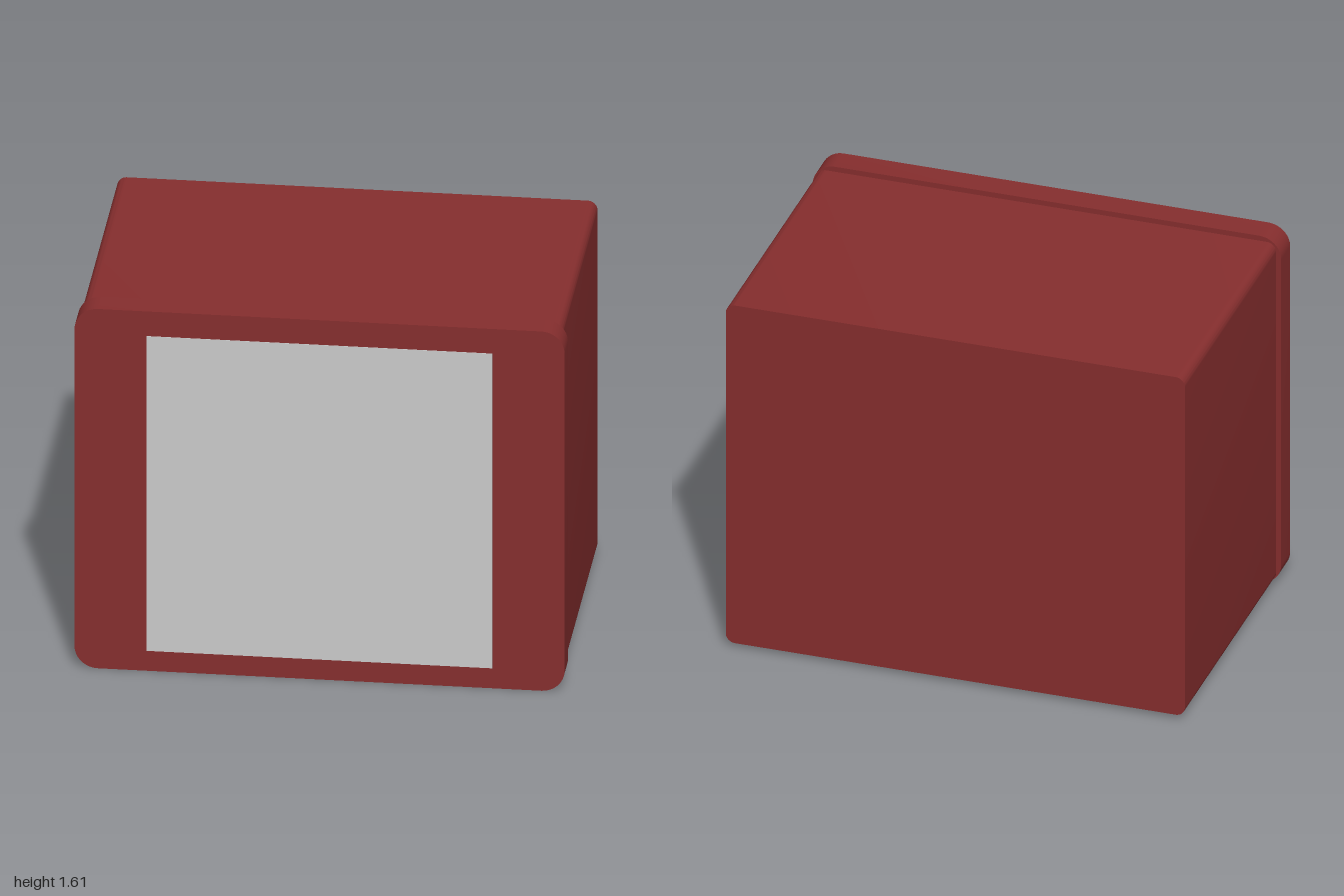
import * as THREE from 'three';
import { toCreasedNormals } from 'three/addons/utils/BufferGeometryUtils.js';

const red = new THREE.MeshStandardMaterial({ color: 0x862e2e });
const grey = new THREE.MeshStandardMaterial({ color: 0xcccccc });

// Rounded rectangle, from (-w, y0) to (w, y1)
function roundedRect(w, y0, y1, r) {
  const s = new THREE.Shape();
  s.absarc(w - r, y0 + r, r, -Math.PI / 2, 0);
  s.absarc(w - r, y1 - r, r, 0, Math.PI / 2);
  s.absarc(-w + r, y1 - r, r, Math.PI / 2, Math.PI);
  s.absarc(-w + r, y0 + r, r, Math.PI, Math.PI * 1.5);
  s.closePath();
  return s;
}

// Slab with rounded outline between two depths
function slab(name, shape, z0, z1) {
  const geo = new THREE.ExtrudeGeometry(shape, { depth: z1 - z0, bevelEnabled: false, curveSegments: 6 });
  geo.translate(0, 0, z0);
  const mesh = new THREE.Mesh(toCreasedNormals(geo, Math.PI / 6), red);
  mesh.name = name;
  return mesh;
}

export function createModel() {
  const group = new THREE.Group();
  group.name = 'monitor';

  // Deep housing, a hairline seam, and the wider front frame
  group.add(slab('housing', roundedRect(0.98, 0.02, 1.59, 0.04), -0.65, 0.527));
  group.add(slab('frontFrame', roundedRect(1, 0, 1.61, 0.095), 0.532, 0.648));

  // Flush square screen
  const screen = new THREE.Mesh(new THREE.BoxGeometry(1.41, 1.41, 0.02), grey);
  screen.name = 'screen';
  screen.position.set(0, 0.795, 0.64);
  group.add(screen);

  return group;
}
